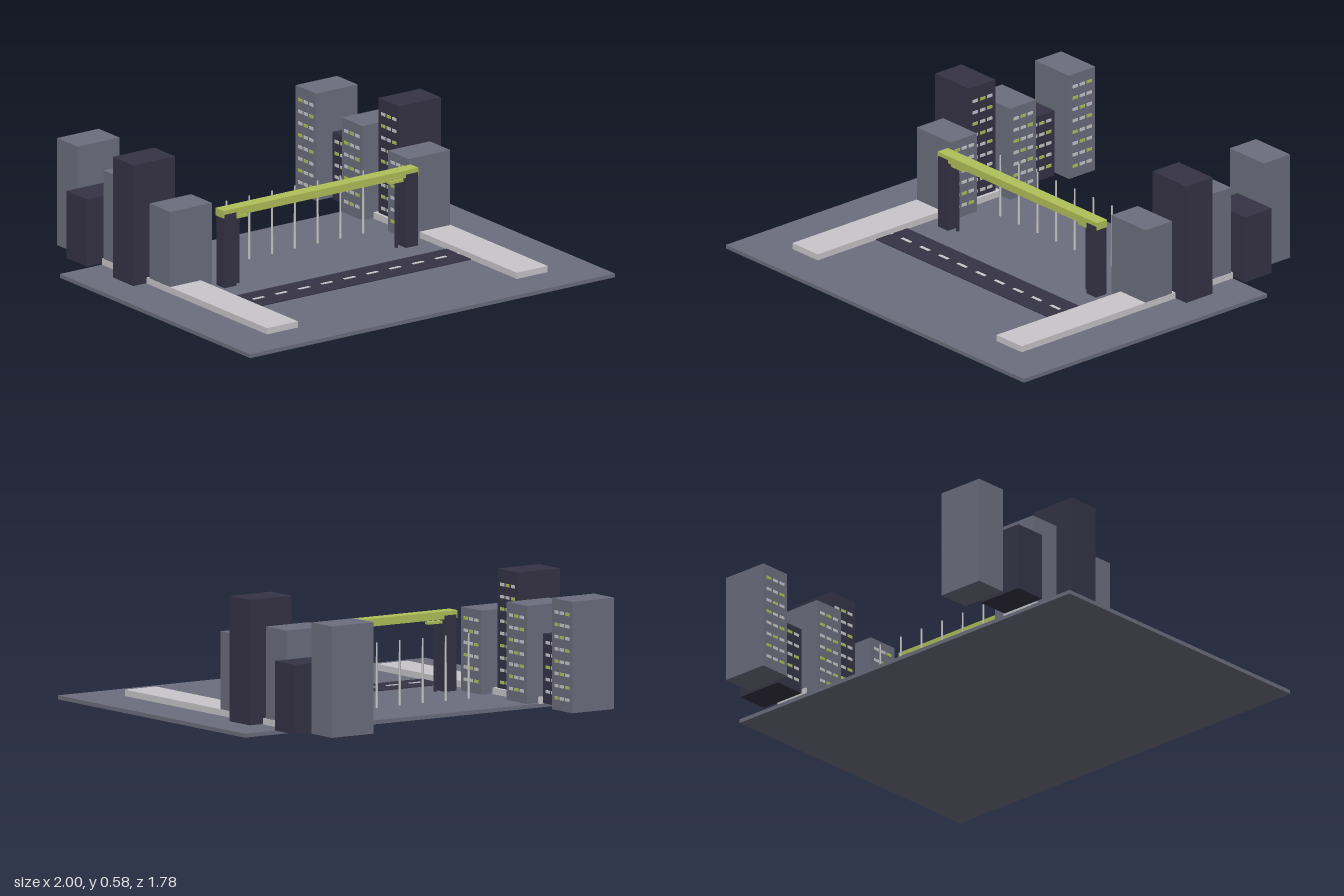
import * as THREE from 'three';

export function createModel() {
  const mat = (name, color) => {
    const m = new THREE.MeshStandardMaterial({ color });
    m.name = name;
    return m;
  };
  const slate = mat('slate', 0x6c6e7e);
  const dark = mat('dark indigo', 0x353345);
  const pale = mat('pale grey', 0xc8c6ca);
  const lime = mat('lime', 0xb0c058);

  const model = new THREE.Group();
  model.name = 'cityGateway';

  // Box given by its minimum and maximum corners
  const box = (name, material, x0, x1, y0, y1, z0, z1, parent = model) => {
    const mesh = new THREE.Mesh(new THREE.BoxGeometry(x1 - x0, y1 - y0, z1 - z0), material);
    mesh.position.set((x0 + x1) / 2, (y0 + y1) / 2, (z0 + z1) / 2);
    mesh.name = name;
    parent.add(mesh);
    return mesh;
  };
  // The same box on either side of x = 0
  const sideBox = (side, name, material, x0, x1, ...rest) =>
    side > 0 ? box(name, material, x0, x1, ...rest) : box(name, material, -x1, -x0, ...rest);

  // Ground slab, road and dashed centre line
  box('ground', slate, -1, 1, 0, 0.018, -0.55, 0.89);
  box('road', dark, -0.61, 0.61, 0.016, 0.022, 0.17, 0.355);
  for (let i = -5; i <= 5; i++) {
    const x = i * 0.125;
    box('roadDash', pale, x - 0.03, x + 0.03, 0.021, 0.0245, 0.255, 0.27);
  }

  // Staggered towers: [inner x, height at top, material]
  const towers = [
    [0.54, 0.397, slate],
    [0.615, 0.583, dark],
    [0.54, 0.46, slate],
    [0.615, 0.333, dark],
    [0.54, 0.52, slate],
  ];

  for (const side of [-1, 1]) {
    sideBox(side, 'sidewalk', pale, 0.6, 0.77, 0.016, 0.047, -0.55, 0.7);

    towers.forEach(([x, top, material], i) => {
      const z = -0.113 - i * 0.175;
      const tower = new THREE.Group();
      tower.name = 'tower';
      model.add(tower);
      sideBox(side, 'towerBody', material, x, x + 0.228, 0.02, top, z - 0.0775, z + 0.0775, tower);
      // Rows of thin windows on the face toward the road
      for (let row = 0; 0.075 + row * 0.055 < top - 0.03; row++) {
        const y = 0.075 + row * 0.055;
        for (let col = -1; col <= 1; col++) {
          const wz = z + col * 0.042;
          const lit = (row * 2 + col + i + 1) % 3 === 0;
          sideBox(side, 'window', lit ? lime : pale, x - 0.003, x + 0.002,
            y - 0.007, y + 0.007, wz - 0.015, wz + 0.015, tower);
        }
      }
    });

    // Gateway pillar with a slim capped post beside it
    sideBox(side, 'gatePillar', dark, 0.465, 0.53, 0.018, 0.36, -0.014, 0.048);
    sideBox(side, 'gatePost', dark, 0.43, 0.441, 0.018, 0.325, 0.011, 0.022);
    sideBox(side, 'gatePostCap', lime, 0.39, 0.466, 0.323, 0.335, 0.004, 0.03);
  }

  // Beam across the gateway
  box('gateBeam', lime, -0.535, 0.535, 0.344, 0.379, -0.0135, 0.0465);

  // Row of slender poles behind the gateway
  const poleGeometry = new THREE.CylinderGeometry(0.004, 0.006, 0.292, 8);
  for (let i = 0; i < 8; i++) {
    const pole = new THREE.Mesh(poleGeometry, pale);
    pole.position.set((i - 3.5) * 0.125, 0.164, -0.238);
    pole.name = 'pole';
    model.add(pole);
  }

  return model;
}
